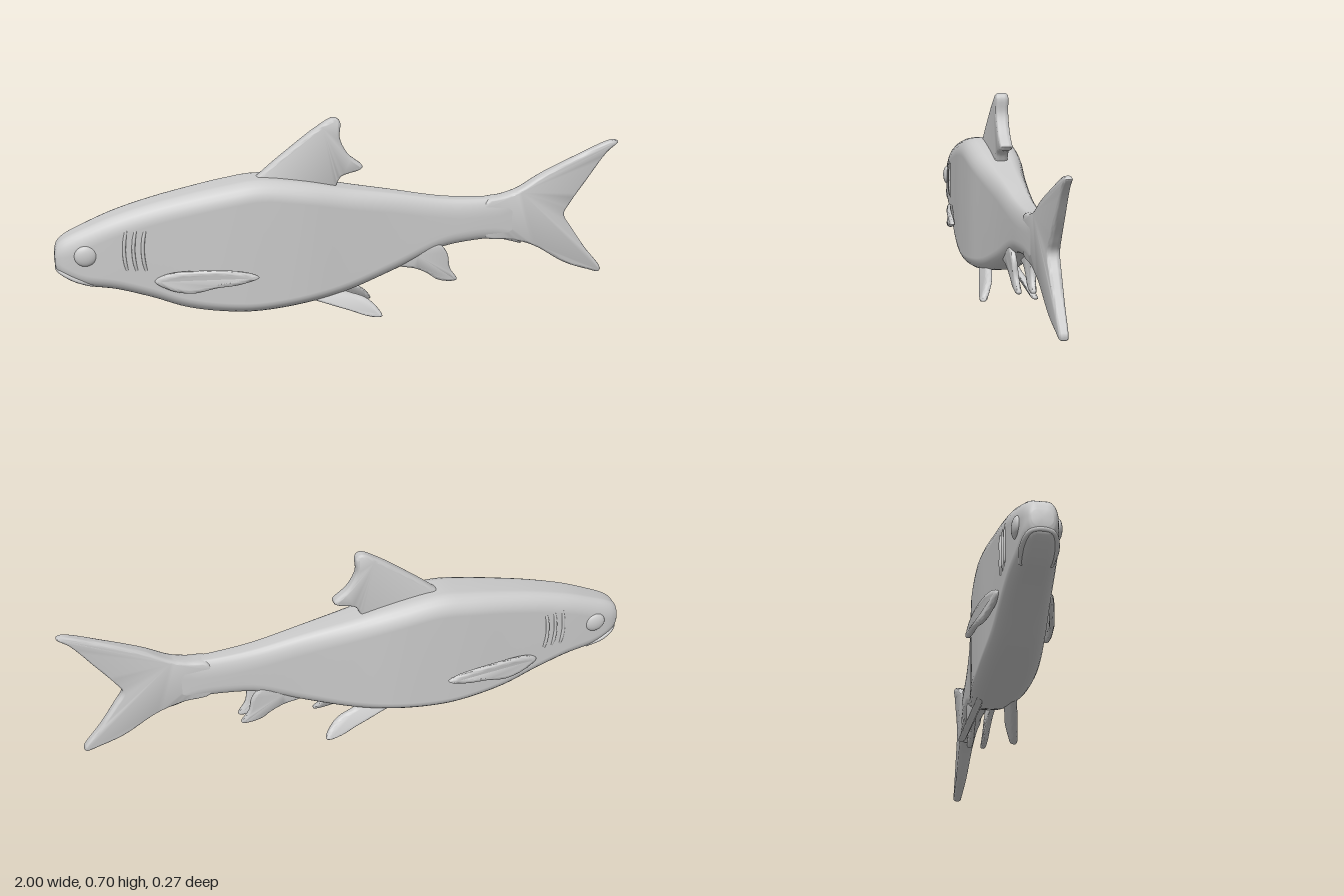
import * as THREE from 'three';
import { toCreasedNormals } from 'three/addons/utils/BufferGeometryUtils.js';

const material = new THREE.MeshStandardMaterial({ color: 0xcccccc });

// Body stations from nose to tail root: x, belly height, back height, half width
const STATIONS = [
  [-1, 0.25, 0.3, 0.032], [-0.99, 0.225, 0.328, 0.043], [-0.96, 0.203, 0.352, 0.055],
  [-0.9, 0.176, 0.379, 0.063], [-0.8, 0.158, 0.418, 0.072], [-0.68, 0.12, 0.452, 0.079],
  [-0.56, 0.075, 0.478, 0.086], [-0.42, 0.05, 0.503, 0.095], [-0.3, 0.045, 0.515, 0.097],
  [-0.15, 0.06, 0.494, 0.093], [0, 0.09, 0.462, 0.076], [0.17, 0.15, 0.431, 0.058],
  [0.33, 0.215, 0.4, 0.047], [0.45, 0.234, 0.388, 0.041], [0.55, 0.233, 0.388, 0.034],
  [0.64, 0.208, 0.412, 0.026],
];

function addMesh(parent, name, geometry) {
  const mesh = new THREE.Mesh(geometry, material);
  mesh.name = name;
  parent.add(mesh);
  return mesh;
}

// Slab-sided cross-section with rounded shoulders and belly corners
function sectionRing(bottom, top, half) {
  const ring = [];
  const h = top - bottom;
  const rz = half * 0.6;
  const steps = 6;
  for (let corner = 0; corner < 4; corner++) {
    const upper = corner < 2;
    const ry = Math.min(upper ? 0.065 : 0.045, h * 0.42);
    const cy = upper ? top - ry : bottom + ry;
    const cz = (corner === 0 || corner === 3 ? 1 : -1) * (half - rz);
    for (let s = 0; s <= steps; s++) {
      const a = (corner + s / steps) * Math.PI / 2;
      ring.push([cy + Math.sin(a) * ry, cz + Math.cos(a) * rz]);
    }
  }
  return ring;
}

function bodyGeometry() {
  const heights = new THREE.CatmullRomCurve3(
    STATIONS.map(([x, b, t]) => new THREE.Vector3(x, b, t)), false, 'catmullrom');
  const widths = new THREE.CatmullRomCurve3(
    STATIONS.map(([x, , , w]) => new THREE.Vector3(x, w, 0)), false, 'catmullrom');
  const rows = 75, pos = [], index = [];
  let n = 0;
  for (let i = 0; i <= rows; i++) {
    const p = heights.getPoint(i / rows);
    const ring = sectionRing(p.y, p.z, widths.getPoint(i / rows).y);
    n = ring.length;
    ring.forEach(([y, z]) => pos.push(p.x, y, z));
  }
  for (let i = 0; i < rows; i++) {
    for (let j = 0; j < n; j++) {
      const k = (j + 1) % n;
      const a = i * n + j, b = a + n, c = (i + 1) * n + k, d = i * n + k;
      index.push(a, b, c, a, c, d);
    }
  }
  // Slightly domed nose cap and hidden tail cap
  const nose = pos.length / 3;
  pos.push(-1.003, 0.275, 0, 0.645, 0.31, 0);
  for (let j = 0; j < n; j++) {
    const k = (j + 1) % n;
    index.push(nose, j, k, nose + 1, rows * n + k, rows * n + j);
  }
  const g = new THREE.BufferGeometry();
  g.setAttribute('position', new THREE.Float32BufferAttribute(pos, 3));
  g.setIndex(index);
  g.computeVertexNormals();
  return g;
}

// Rounded-edge fin from a closed outline; half(x) sets thickness, shift(x, y) bends it in z
function finGeometry(outline, bevel, half, shift = () => 0) {
  const curve = new THREE.CatmullRomCurve3(
    outline.map(([x, y]) => new THREE.Vector3(x, y, 0)), true, 'centripetal');
  const pts = curve.getPoints(outline.length * 5).slice(0, -1);
  const shape = new THREE.Shape(pts.map((p) => new THREE.Vector2(p.x, p.y)));
  const g = new THREE.ExtrudeGeometry(shape, {
    depth: 0.6, bevelThickness: 0.7, bevelSize: bevel, bevelOffset: -bevel, bevelSegments: 4,
  });
  g.translate(0, 0, -0.3);
  const p = g.attributes.position;
  for (let i = 0; i < p.count; i++) {
    const x = p.getX(i), y = p.getY(i);
    p.setZ(i, p.getZ(i) * half(x) + shift(x, y));
  }
  g.deleteAttribute('uv');
  return toCreasedNormals(g, 0.9);
}

function tube(points, radius, segments = 16) {
  const curve = new THREE.CatmullRomCurve3(points.map((p) => new THREE.Vector3(...p)));
  return new THREE.TubeGeometry(curve, segments, radius, 8);
}

export function createModel() {
  const fish = new THREE.Group();
  fish.name = 'fish';
  addMesh(fish, 'body', bodyGeometry());

  // Forked tail, thinning toward the tips
  addMesh(fish, 'tailFin', finGeometry([
    [0.5, 0.375], [0.57, 0.391], [0.63, 0.41], [0.71, 0.456], [0.84, 0.516], [0.98, 0.57],
    [0.997, 0.562], [0.955, 0.525], [0.88, 0.425], [0.825, 0.35], [0.802, 0.307],
    [0.835, 0.25], [0.89, 0.17], [0.952, 0.088], [0.945, 0.076], [0.9, 0.088],
    [0.81, 0.122], [0.69, 0.196], [0.6, 0.227], [0.5, 0.245],
  ], 0.009, (x) => 0.034 - (x - 0.5) * 0.044));

  addMesh(fish, 'dorsalFin', finGeometry([
    [-0.33, 0.49], [-0.29, 0.53], [-0.18, 0.617], [-0.1, 0.675], [-0.04, 0.706],
    [-0.02, 0.694], [-0.02, 0.634], [0.01, 0.575], [0.06, 0.53], [0.05, 0.518],
    [-0.015, 0.498], [-0.035, 0.465], [-0.06, 0.42], [-0.28, 0.45],
  ], 0.01, () => 0.022));

  // Mouth line wrapping round the snout
  addMesh(fish, 'lowerLip', tube([
    [-0.88, 0.183, 0.045], [-0.94, 0.208, 0.052], [-0.985, 0.234, 0.035], [-0.994, 0.24, 0],
    [-0.985, 0.234, -0.035], [-0.94, 0.208, -0.052], [-0.88, 0.183, -0.045],
  ], 0.008, 32));

  for (const [label, side] of [['left', 1], ['right', -1]]) {
    const half = new THREE.Group();
    half.name = `${label}Side`;
    fish.add(half);

    const eye = addMesh(half, 'eye', new THREE.SphereGeometry(1, 24, 16));
    eye.scale.set(0.038, 0.036, 0.016);
    eye.position.set(-0.9, 0.291, side * 0.06);

    // Gill ridges
    for (let i = 0; i < 3; i++) {
      const x = -0.77 + i * 0.031, z = side * (0.073 + i * 0.0025);
      addMesh(half, 'gill', tube([
        [x + 0.006, 0.375 - i * 0.003, z - side * 0.004], [x, 0.34, z], [x - 0.003, 0.3, z],
        [x, 0.26, z], [x + 0.006, 0.232, z - side * 0.004],
      ], 0.006));
    }

    // Pectoral fin sweeping away from the flank
    addMesh(half, 'pectoralFin', finGeometry([
      [-0.675, 0.19], [-0.63, 0.217], [-0.5, 0.228], [-0.37, 0.216], [-0.326, 0.195],
      [-0.39, 0.174], [-0.47, 0.165], [-0.55, 0.148], [-0.62, 0.158],
    ], 0.014, () => 0.009, (x) => side * (0.128 - Math.pow((-0.326 - x) / 0.35, 2) * 0.05)));

    // Pelvic fin splaying down and out
    addMesh(half, 'pelvicFin', finGeometry([
      [-0.16, 0.09], [-0.06, 0.115], [0, 0.088], [0.06, 0.066], [0.095, 0.036],
      [0.113, 0.006], [0.1, 0.002], [0.055, 0.01], [0, 0.03], [-0.08, 0.057],
    ], 0.01, () => 0.012, (x, y) => side * (0.094 - y * 0.5)));

    // Anal fin, one of a close pair
    addMesh(half, 'analFin', finGeometry([
      [0.18, 0.168], [0.25, 0.148], [0.295, 0.125], [0.33, 0.1], [0.385, 0.09], [0.402, 0.096],
      [0.375, 0.14], [0.362, 0.2], [0.33, 0.235], [0.23, 0.2],
    ], 0.01, () => 0.01, (x, y) => side * (0.024 + (y - 0.09) * 0.08)));
  }
  return fish;
}
